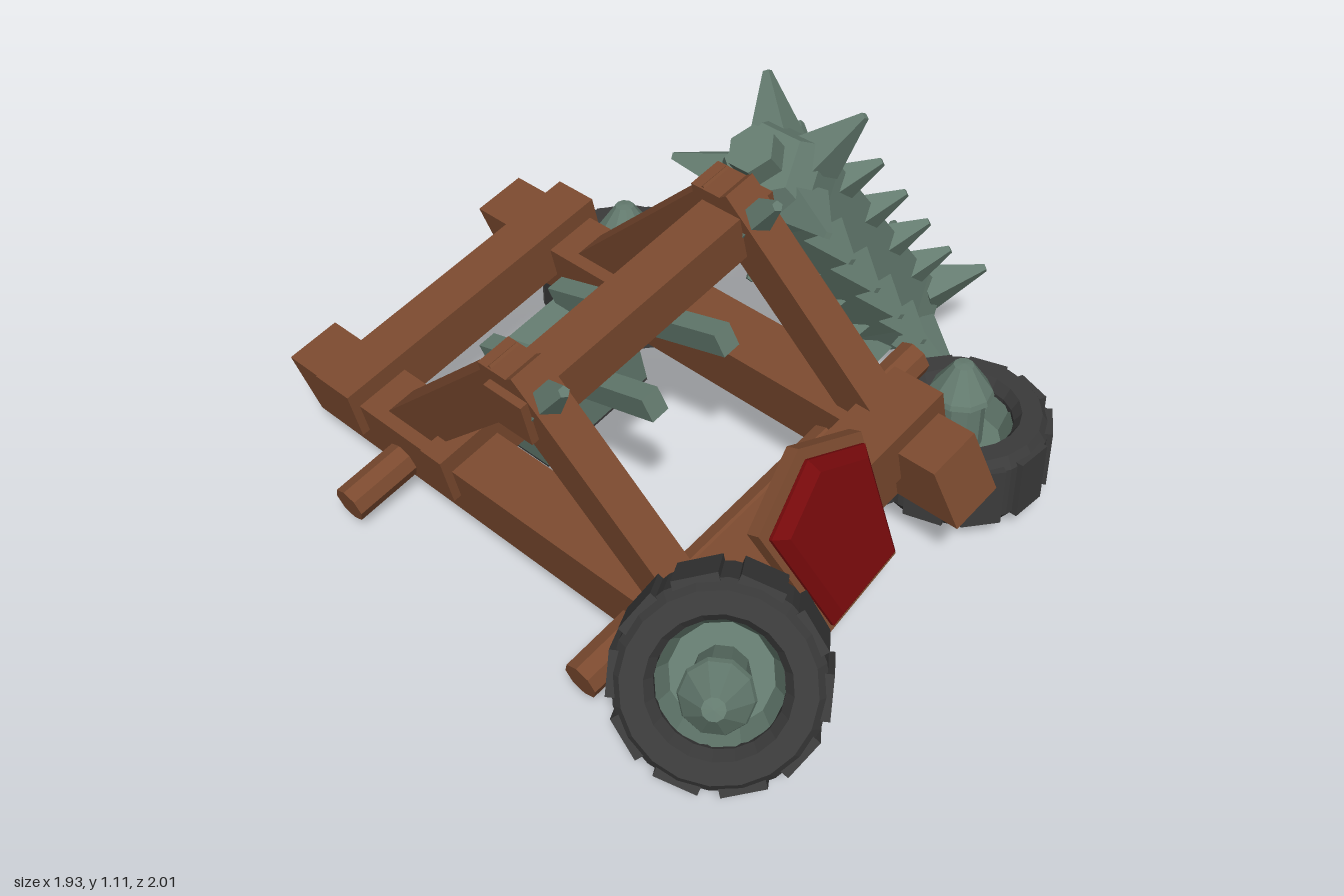
import * as THREE from 'three';

const mat = (name, color) => {
  const m = new THREE.MeshStandardMaterial({ color });
  m.name = name;
  return m;
};

export function createModel() {
  const wood = mat('wood', 0x7b4a2f);
  const iron = mat('greenIron', 0x647b6f);
  const rubber = mat('darkRubber', 0x3b3b3b);
  const red = mat('redPaint', 0x74090b);
  const root = new THREE.Group();
  root.name = 'wreckedSiegeEngine';

  // Adds a faceted mesh to a parent
  const add = (parent, name, geo, material, x = 0, y = 0, z = 0) => {
    const g = geo.index ? geo.toNonIndexed() : geo;
    g.computeVertexNormals();
    const m = new THREE.Mesh(g, material);
    m.name = name;
    m.position.set(x, y, z);
    parent.add(m);
    return m;
  };
  const box = (parent, name, material, w, h, d, x, y, z) =>
    add(parent, name, new THREE.BoxGeometry(w, h, d), material, x, y, z);
  const group = (name, x, y, z) => {
    const g = new THREE.Group();
    g.name = name;
    g.position.set(x, y, z);
    root.add(g);
    return g;
  };
  const points = (list) => list.map(([x, y]) => new THREE.Vector2(x, y));
  // Beam in a plane of constant x, from (y0, z0) to (y1, z1)
  const beam = (parent, name, material, x, y0, z0, y1, z1, w, h) => {
    const m = box(parent, name, material, w, h, Math.hypot(y1 - y0, z1 - z0), x, (y0 + y1) / 2, (z0 + z1) / 2);
    m.rotation.x = Math.atan2(y0 - y1, z1 - z0);
  };

  // Timber frame, tipped to one side
  const frame = group('frame', -0.2, 0.23, 0);
  frame.rotation.z = 0.218;
  for (const s of [-1, 1]) {
    const rail = new THREE.BoxGeometry(0.165, 0.178, 1.73);
    const p = rail.attributes.position;
    for (let i = 0; i < p.count; i++) p.setZ(i, p.getZ(i) - 0.34 * p.getY(i));
    add(frame, 'sideRail', rail, wood, s * 0.368, -0.009, -0.11);
    beam(frame, 'frontBrace', wood, s * 0.368, 0.03, 0.495, 0.64, 0.045, 0.1, 0.13);
    beam(frame, 'rearBrace', wood, s * 0.368, 0.03, -0.56, 0.615, 0.06, 0.09, 0.14);
    box(frame, 'apexBlock', wood, 0.1, 0.16, 0.11, s * 0.368, 0.58, 0.03);
    const hook = add(frame, 'apexSpike', new THREE.CylinderGeometry(0.015, 0.06, 0.15, 5), iron, s * 0.368, 0.62, 0.17);
    hook.rotation.x = 0.8;
    beam(frame, 'throwingArm', iron, s * 0.13, 0.17, -0.46, 0.4, 0.22, 0.055, 0.07);
  }
  for (const [z, d] of [[0.53, 0.16], [-0.76, 0.14], [-0.34, 0.08]]) {
    box(frame, 'crossBeam', wood, 0.95, 0.155, d, 0, 0.058, z);
  }
  box(frame, 'lowerCrossBeam', wood, 0.6, 0.09, 0.12, 0, -0.055, 0.53);
  box(frame, 'topBar', wood, 0.88, 0.13, 0.13, 0, 0.555, 0.07);
  for (const z of [0.36, -0.55]) {
    const axle = add(frame, 'axle', new THREE.CylinderGeometry(0.053, 0.053, 1.3, 8), wood, 0, -0.045, z);
    axle.rotation.z = Math.PI / 2;
  }
  box(frame, 'counterweight', iron, 0.39, 0.225, 0.25, -0.02, 0.0425, -0.345);
  box(frame, 'counterweightBase', rubber, 0.39, 0.008, 0.25, -0.02, -0.074, -0.345);

  // Wheels, with the hub pointing along the given axis
  const tyreProfile = points([[0.15, -0.08], [0.17, -0.112], [0.225, -0.112], [0.247, -0.08], [0.247, 0.08],
    [0.225, 0.112], [0.17, 0.112], [0.15, 0.08], [0.15, -0.08]]);
  const hubProfile = points([[0, -0.03], [0.07, -0.03], [0.07, 0.16], [0.09, 0.165], [0.085, 0.18], [0.028, 0.262], [0, 0.265]]);
  const dishProfile = points([[0.152, 0.07], [0.125, 0.0], [0.06, 0.0]]);
  const addWheel = (name, x, y, z, axis) => {
    const wheel = group(name, x, y, z);
    wheel.quaternion.setFromUnitVectors(new THREE.Vector3(0, 1, 0), axis.normalize());
    add(wheel, 'tyre', new THREE.LatheGeometry(tyreProfile, 20), rubber);
    add(wheel, 'wheelBack', new THREE.CylinderGeometry(0.152, 0.152, 0.02, 16), rubber, 0, -0.03, 0);
    add(wheel, 'rimDish', new THREE.LatheGeometry(dishProfile.slice().reverse(), 12).scale(1, 1, 1), iron).material.side =
      THREE.DoubleSide;
    add(wheel, 'hub', new THREE.LatheGeometry(hubProfile, 10), iron);
    for (let i = 0; i < 10; i++) {
      const a = (i / 10) * Math.PI * 2;
      const tread = box(wheel, 'tread', rubber, 0.11, 0.18, 0.04, Math.sin(a) * 0.234, 0, Math.cos(a) * 0.234);
      tread.rotation.y = a;
    }
  };
  addWheel('frontLeftWheel', 0.45, 0.124, 0.52, new THREE.Vector3(0, 1, 0));
  addWheel('rearLeftWheel', 0.36, 0.124, -0.685, new THREE.Vector3(0, 1, 0));
  addWheel('frontRightWheel', -0.722, 0.275, 0.735, new THREE.Vector3(-0.65, 0.5, 0.52));

  // Five-sided shield leaning on the front cross beam
  const shield = group('shield', -0.24, 0.33, 0.635);
  shield.rotation.x = -0.36;
  const outline = [[-0.22, 0.11], [-0.03, 0.245], [0.18, 0.18], [0.19, -0.18], [-0.09, -0.245]];
  const plate = (name, k, depth, bevel, material, z) => {
    const shape = new THREE.Shape(points(outline.map(([x, y]) => [x * k, y * k])));
    const geo = new THREE.ExtrudeGeometry(shape, {
      depth, bevelEnabled: bevel > 0, bevelThickness: bevel, bevelSize: bevel, bevelSegments: 1 });
    add(shield, name, geo, material, 0, 0, z);
  };
  plate('shieldBack', 1, 0.04, 0, wood, -0.03);
  plate('shieldFace', 0.76, 0.01, 0.028, red, 0.02);

  // Five-sided spiked roller leaning on the frame; local y runs from its upper to its lower end
  const roller = group('spikedRoller', 0.1, 1.02, 0.055);
  roller.rotation.z = -2.489;
  const body = points([[0, 0.07], [0.11, 0.07], [0.155, 0.14], [0.15, 0.25], [0.15, 0.97], [0.155, 1.08], [0.11, 1.15], [0, 1.15]]);
  add(roller, 'rollerBody', new THREE.LatheGeometry(body, 5, Math.PI / 2), iron);
  add(roller, 'rollerShaft', new THREE.CylinderGeometry(0.068, 0.068, 1.22, 6), iron, 0, 0.61, 0);
  const up = new THREE.Vector3(0, 1, 0);
  const addSpike = (name, a, y, lean, base, length) => {
    const dir = new THREE.Vector3(Math.sin(a), lean, Math.cos(a)).normalize();
    const geo = new THREE.CylinderGeometry(0.012, base, length, 4);
    const m = add(roller, name, geo, iron, Math.sin(a) * 0.11, y, Math.cos(a) * 0.11);
    m.quaternion.setFromUnitVectors(up, dir);
    m.position.addScaledVector(dir, length / 2);
  };
  for (let i = 0; i < 5; i++) {
    const a = Math.PI / 2 + (i * Math.PI * 2) / 5;
    for (let j = 0; j < 4; j++) addSpike('spike', a, 0.325 + j * 0.19, 0, 0.06, 0.135);
    addSpike('endSpike', a, 0.17, -0.4, 0.08, 0.185);
    addSpike('endSpike', a, 1.04, 0.25, 0.08, 0.19);
  }
  return root;
}
